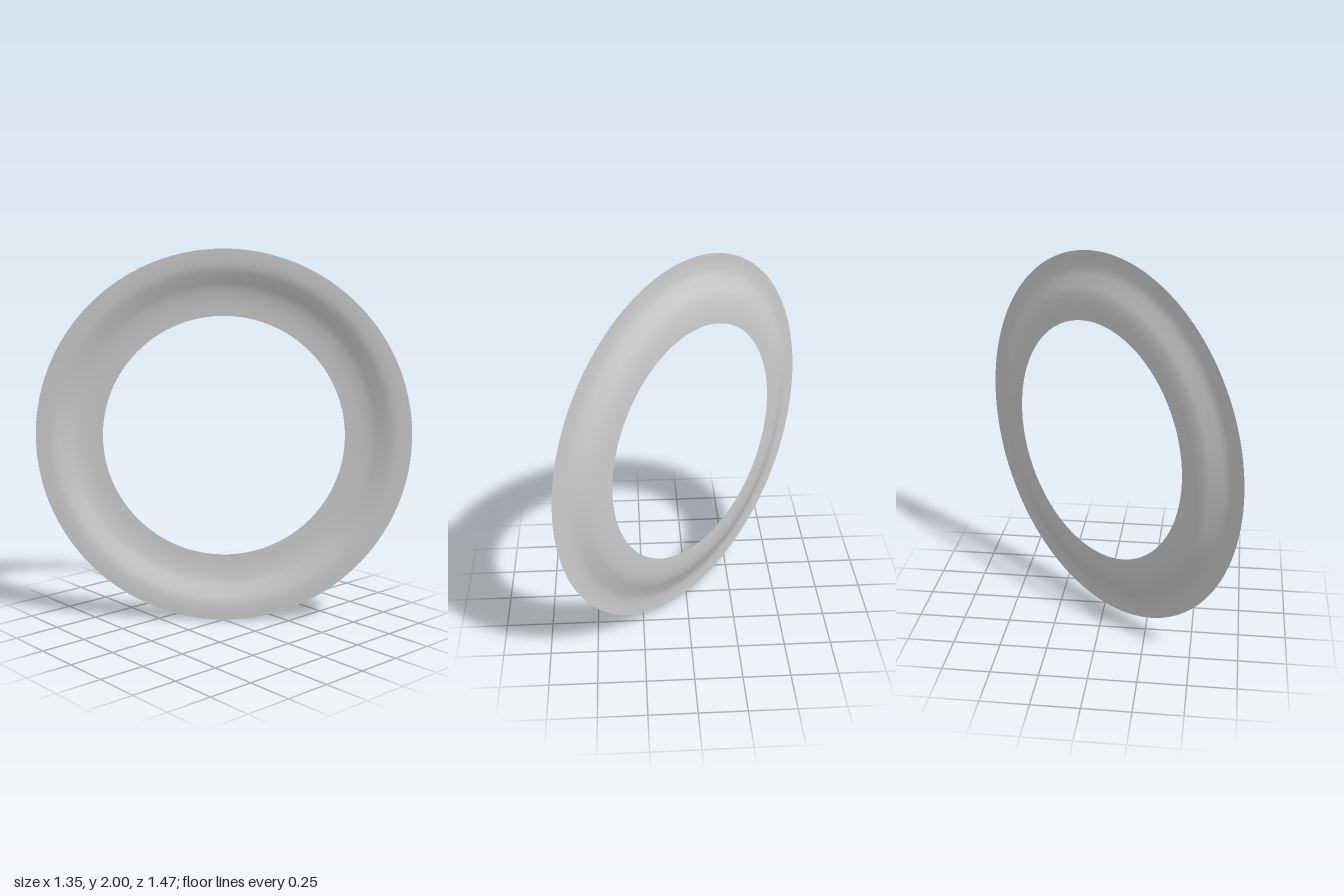
import * as THREE from 'three';

export function createModel() {
  const model = new THREE.Group();

  // Thin ring section: [radius, height], flat rim stepping up to a raised inner band
  const section = [
    [1, 0], [0.95, 0.001], [0.9, 0.007], [0.85, 0.026],
    [0.8, 0.047], [0.75, 0.058], [0.7, 0.063], [0.65, 0.065],
  ].map(([r, h]) => new THREE.Vector2(r, h));
  const profile = new THREE.SplineCurve(section).getPoints(32);

  const geometry = new THREE.LatheGeometry(profile, 128);
  // Stand the ring upright, then turn its raised side to the back right
  geometry.rotateX(Math.PI / 2);
  geometry.rotateY(Math.atan2(-0.737, -0.676));
  geometry.translate(0, 1, 0);

  const ring = new THREE.Mesh(
    geometry,
    new THREE.MeshStandardMaterial({ color: 0xcccccc, side: THREE.DoubleSide })
  );
  ring.name = 'ring';
  model.add(ring);
  return model;
}
